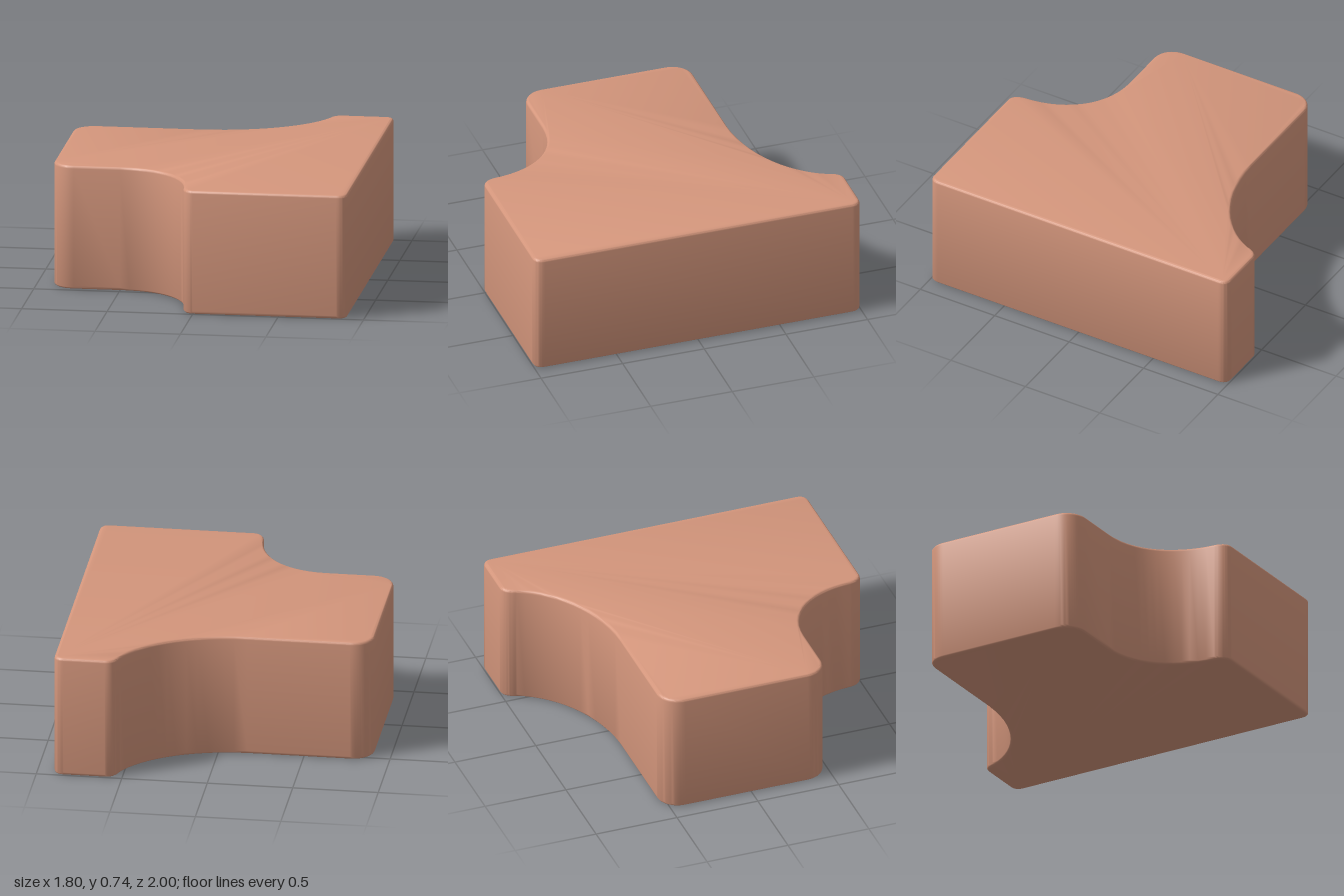
import * as THREE from 'three';
import { toCreasedNormals } from 'three/addons/utils/BufferGeometryUtils.js';

const HEIGHT = 0.735;
const BEVEL = 0.018;

// Plan outline, drawn with shape y pointing to the back (-z)
function planOutline() {
  const s = new THREE.Shape();
  s.moveTo(0.84, -1);
  s.lineTo(0.0, -1);
  s.quadraticCurveTo(-0.055, -0.995, -0.065, -0.92);
  // front scoop
  s.bezierCurveTo(-0.075, -0.68, -0.23, -0.475, -0.5, -0.475);
  // narrow end with rounded corners
  s.lineTo(-0.77, -0.475);
  s.bezierCurveTo(-0.845, -0.475, -0.9, -0.42, -0.9, -0.345);
  s.lineTo(-0.9, 0.41);
  s.bezierCurveTo(-0.9, 0.485, -0.845, 0.54, -0.77, 0.54);
  s.lineTo(-0.17, 0.54);
  // back scoop
  s.bezierCurveTo(0.2, 0.55, 0.44, 0.74, 0.52, 0.92);
  s.quadraticCurveTo(0.54, 1, 0.6, 1);
  // long straight side
  s.lineTo(0.84, 1);
  s.quadraticCurveTo(0.9, 1, 0.9, 0.94);
  s.lineTo(0.9, -0.94);
  s.quadraticCurveTo(0.9, -1, 0.84, -1);
  return s;
}

export function createModel() {
  const group = new THREE.Group();
  group.name = 'scoopedBlock';

  // Upright block with softly rounded rims
  const extruded = new THREE.ExtrudeGeometry(planOutline(), {
    depth: HEIGHT - 2 * BEVEL,
    curveSegments: 14,
    bevelEnabled: true,
    bevelThickness: BEVEL,
    bevelSize: BEVEL,
    bevelOffset: -BEVEL,
    bevelSegments: 4,
  });
  extruded.rotateX(-Math.PI / 2);
  extruded.translate(0, BEVEL, 0);

  const body = new THREE.Mesh(
    toCreasedNormals(extruded, 0.7),
    new THREE.MeshStandardMaterial({ color: 0xd4967c })
  );
  body.name = 'body';
  group.add(body);
  return group;
}
